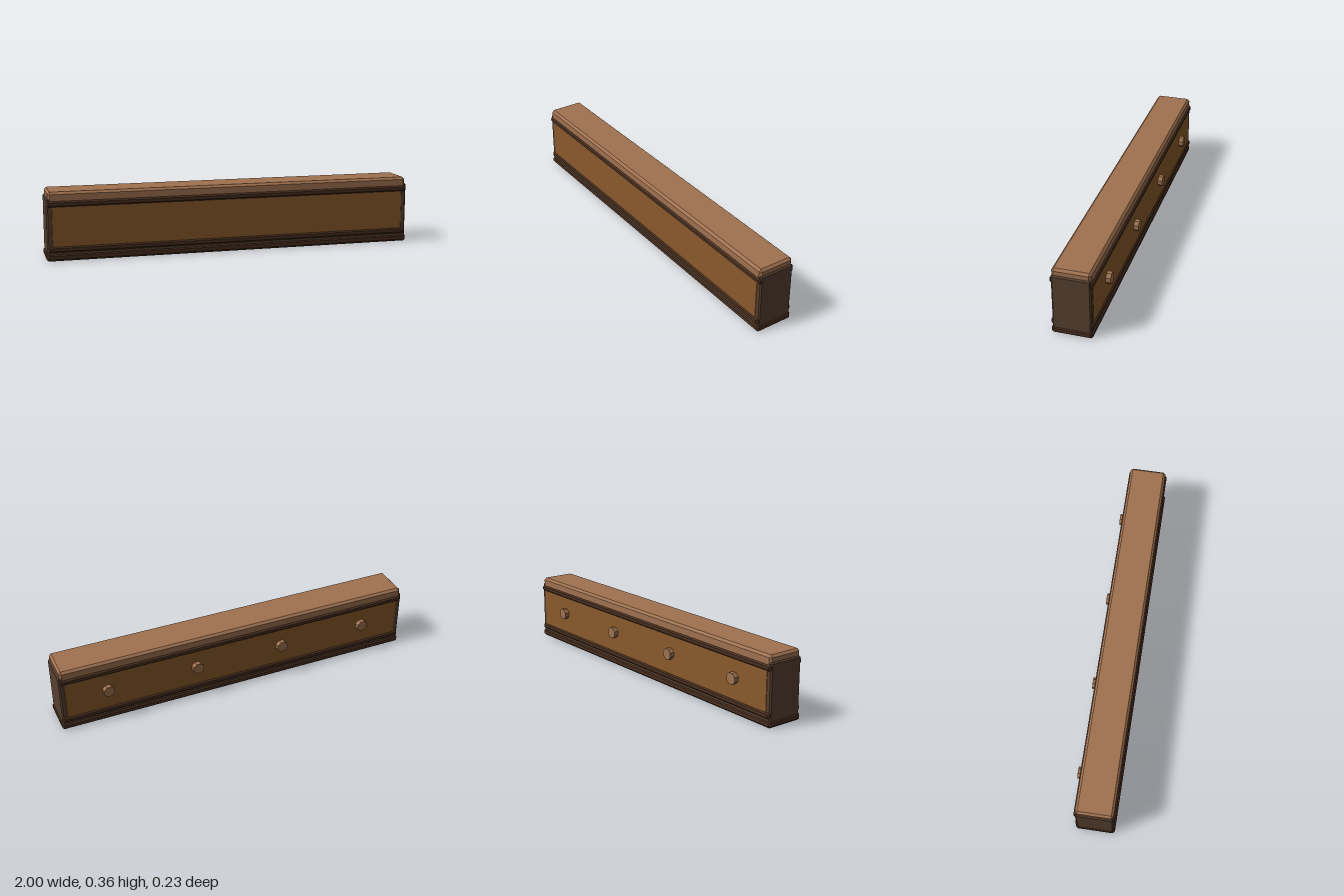
import * as THREE from 'three';
import { ConvexGeometry } from 'three/addons/geometries/ConvexGeometry.js';

const material = (color) => new THREE.MeshStandardMaterial({ color, flatShading: true });

// Box with all edges chamfered by c
function chamferBox(w, h, d, c) {
  const pts = [];
  const half = [w / 2, h / 2, d / 2];
  for (const sx of [-1, 1]) for (const sy of [-1, 1]) for (const sz of [-1, 1]) {
    for (let full = 0; full < 3; full++) {
      const p = [sx, sy, sz].map((s, i) => s * (half[i] - (i === full ? 0 : c)));
      pts.push(new THREE.Vector3(...p));
    }
  }
  return new ConvexGeometry(pts);
}

export function createModel() {
  const model = new THREE.Group();
  model.name = 'beam';
  const midZ = 0.01;
  const dark = material(0x4a3020);
  const body = material(0x56402f);
  const light = material(0xa07250);
  const panel = material(0x8a5a2b);

  const add = (name, geometry, mat, x, y, z) => {
    const mesh = new THREE.Mesh(geometry, mat);
    mesh.name = name;
    mesh.position.set(x, y, z);
    model.add(mesh);
  };
  // Chamfered block spanning y0 to y1
  const block = (name, mat, w, y0, y1, d, c, z = midZ) =>
    add(name, chamferBox(w, y1 - y0, d, c), mat, 0, (y0 + y1) / 2, z);

  // Plinth, core and cap
  block('base', dark, 2, 0, 0.038, 0.207, 0.01);
  block('core', body, 1.99, 0.025, 0.327, 0.196, 0.007);
  block('topCap', light, 1.976, 0.302, 0.362, 0.197, 0.012);

  // Panels and horizontal rails on both long faces
  for (const [side, s] of [['front', 1], ['back', -1]]) {
    block(side + 'Panel', panel, 1.94, 0.06, 0.3, 0.02, 0.003, midZ + s * 0.0895);
    block(side + 'LowerRail', dark, 1.984, 0.045, 0.077, 0.025, 0.008, midZ + s * 0.0935);
    block(side + 'UpperRail', dark, 1.984, 0.283, 0.315, 0.025, 0.008, midZ + s * 0.0935);
  }

  // Octagonal pegs along the back
  const peg = new THREE.CylinderGeometry(0.0315, 0.0315, 0.04, 8);
  peg.rotateY(Math.PI / 8);
  peg.rotateX(Math.PI / 2);
  for (const x of [-0.742, -0.247, 0.247, 0.742]) add('backPeg', peg, light, x, 0.189, -0.095);

  return model;
}
